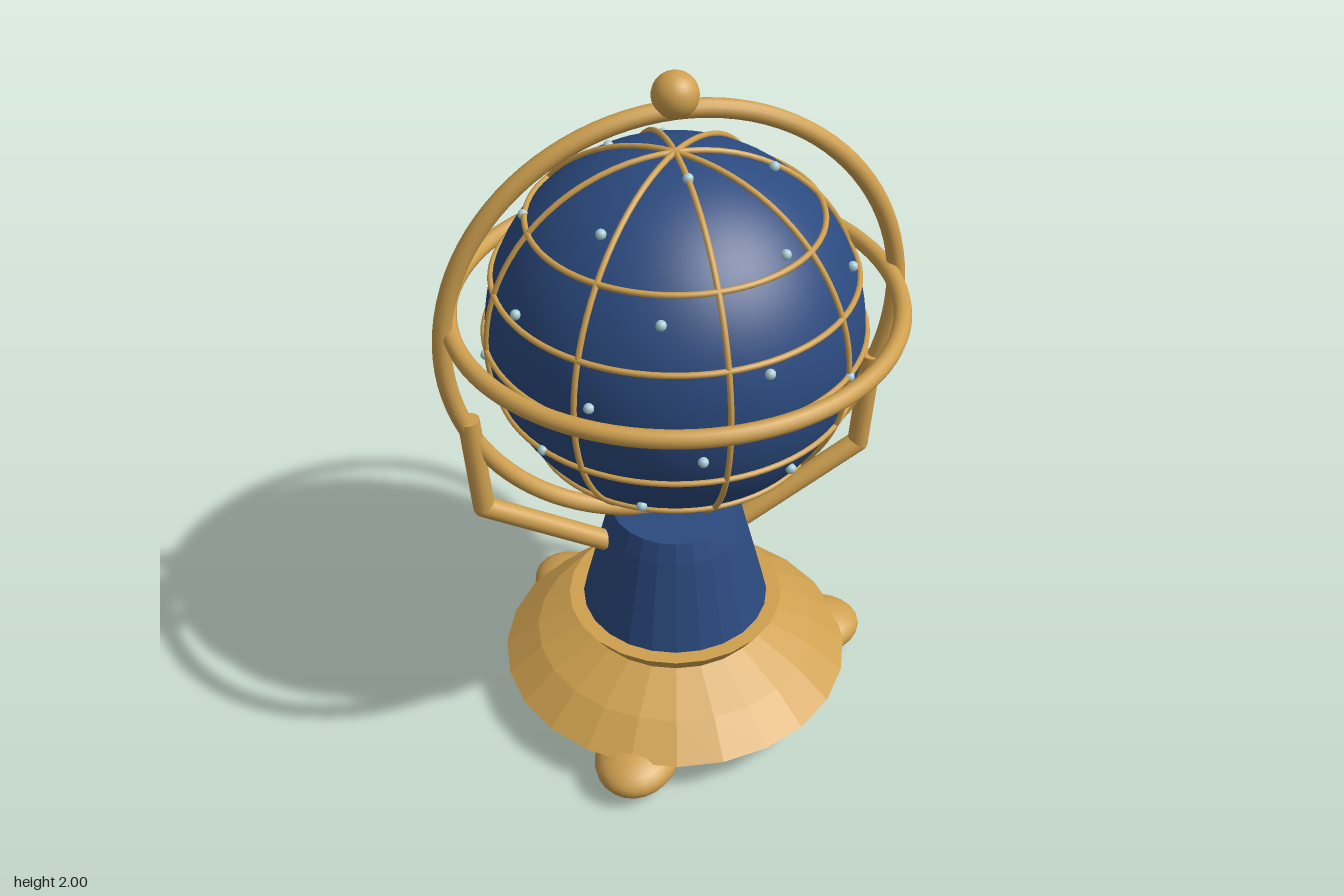
import * as THREE from 'three';

const GLOBE_Y = 1.28;
const GLOBE_R = 0.5;
const WIRE_R = 0.504;

export function createModel() {
  const model = new THREE.Group();
  model.name = 'celestialGlobe';

  const material = (name, color) => {
    const m = new THREE.MeshStandardMaterial({ color });
    m.name = name;
    return m;
  };
  const gold = material('antique gold', 0xcfa04f);
  const blue = material('night blue', 0x2b4a7f);
  const pale = material('pale star blue', 0xa9cdd4);

  const add = (name, geometry, mat, x = 0, y = 0, z = 0, parent = model) => {
    const mesh = new THREE.Mesh(geometry, mat);
    mesh.name = name;
    mesh.position.set(x, y, z);
    parent.add(mesh);
    return mesh;
  };
  const group = (name) => {
    const g = new THREE.Group();
    g.name = name;
    model.add(g);
    return g;
  };

  // Faceted turned part from [radius, height] pairs, bottom to top
  const turned = (profile) => {
    const points = profile.map(([r, y]) => new THREE.Vector2(r, y));
    const geometry = new THREE.LatheGeometry(points, 24).toNonIndexed();
    geometry.computeVertexNormals();
    return geometry;
  };

  // Stand
  add('base', turned([[0, 0.067], [0.46, 0.067], [0.508, 0.12], [0.41, 0.2], [0.27, 0.272], [0, 0.272]]), gold);
  add('collar', turned([[0, 0.268], [0.27, 0.268], [0.312, 0.33], [0, 0.33]]), gold);
  add('pedestal', turned([[0, 0.32], [0.272, 0.32], [0.202, 0.6], [0.182, 0.66], [0, 0.66]]), blue);

  // Three flattened feet
  const feet = group('feet');
  for (let i = 0; i < 3; i++) {
    const a = (i * Math.PI * 2) / 3;
    const foot = add('foot', new THREE.SphereGeometry(1, 24, 16), gold,
      0.43 * Math.cos(a), 0.072, 0.43 * Math.sin(a), feet);
    foot.scale.set(0.155, 0.068, 0.12);
    foot.rotation.y = -a;
  }

  // Bent support arms, mirrored left and right
  const rod = (from, to, parent) => {
    const d = to.clone().sub(from);
    const mesh = add('armRod', new THREE.CylinderGeometry(0.03, 0.03, d.length(), 14), gold, 0, 0, 0, parent);
    mesh.position.copy(from).addScaledVector(d, 0.5);
    mesh.quaternion.setFromUnitVectors(new THREE.Vector3(0, 1, 0), d.normalize());
  };
  for (const side of [-1, 1]) {
    const arm = group(side > 0 ? 'leftArm' : 'rightArm');
    const top = new THREE.Vector3(side * 0.567, 1.07, 0);
    const elbow = new THREE.Vector3(side * 0.545, 0.768, 0);
    const end = new THREE.Vector3(side * 0.205, 0.567, 0);
    rod(elbow, top, arm);
    rod(end, elbow, arm);
    add('elbow', new THREE.SphereGeometry(0.03, 14, 10), gold, elbow.x, elbow.y, 0, arm);
  }

  // Outer rings and finial
  add('meridianRing', new THREE.TorusGeometry(0.62, 0.025, 12, 96), gold, 0, GLOBE_Y, 0);
  add('horizonRing', new THREE.TorusGeometry(0.593, 0.024, 12, 96), gold, 0, 1.345, 0).rotation.x = Math.PI / 2;
  add('finial', new THREE.SphereGeometry(0.06, 24, 16), gold, 0, 1.94, 0);

  // Globe
  add('globe', new THREE.SphereGeometry(GLOBE_R, 64, 40), blue, 0, GLOBE_Y, 0);

  // Wire grid: five parallels and four full meridians
  const grid = group('wireGrid');
  grid.position.y = GLOBE_Y;
  for (const h of [-0.33, -0.165, 0, 0.165, 0.33]) {
    const radius = Math.sqrt(WIRE_R * WIRE_R - h * h);
    add('parallel', new THREE.TorusGeometry(radius, 0.008, 8, 80), gold, 0, h, 0, grid).rotation.x = Math.PI / 2;
  }
  for (let i = 0; i < 4; i++) {
    add('meridian', new THREE.TorusGeometry(WIRE_R, 0.008, 8, 80), gold, 0, 0, 0, grid).rotation.y = (i * Math.PI) / 4;
  }

  // Star studs on a golden-angle spiral
  const stars = group('stars');
  stars.position.y = GLOBE_Y;
  const count = 37;
  const golden = Math.PI * (3 - Math.sqrt(5));
  const starGeometry = new THREE.SphereGeometry(0.014, 10, 8);
  for (let i = 0; i < count; i++) {
    const h = 1 - (2 * i + 1) / count;
    const r = Math.sqrt(1 - h * h);
    const a = Math.PI / 2 + i * golden;
    add('star', starGeometry, pale, 0.506 * r * Math.cos(a), 0.506 * h, 0.506 * r * Math.sin(a), stars);
  }

  return model;
}
